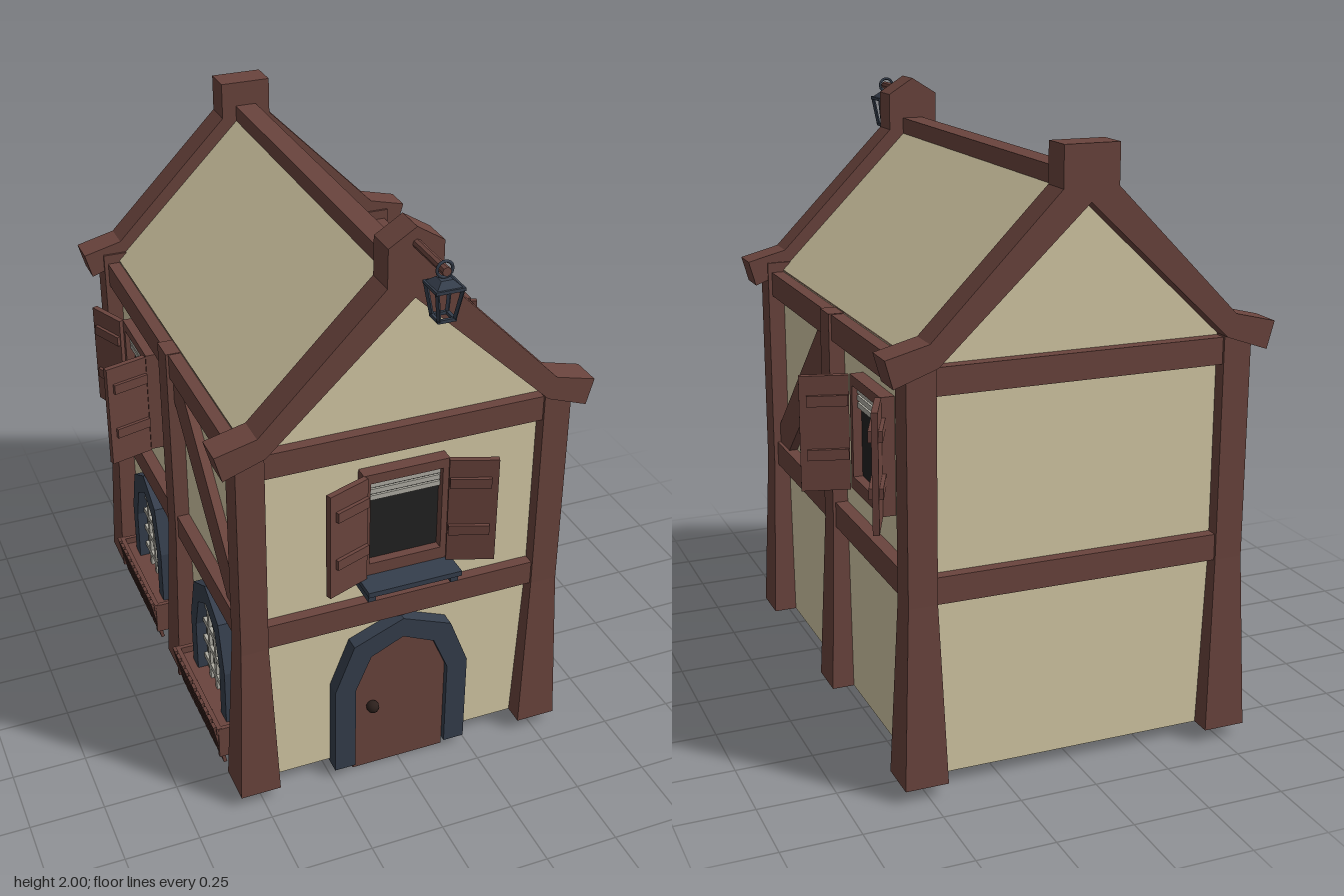
import * as THREE from 'three';

const mat = (name, color, side = THREE.FrontSide) => {
  const m = new THREE.MeshStandardMaterial({ color, side });
  m.name = name;
  return m;
};
const timber = mat('timber brown', 0x6a443d);
const plaster = mat('plaster cream', 0xd5caa6, THREE.DoubleSide);
const slate = mat('slate blue', 0x353e4c);
const pane = mat('dark pane', 0x222222);
const blind = mat('pale grey', 0xb0aea4);
const smoky = mat('smoky glass', 0x5a5b54);
const iron = mat('dark knob', 0x2c201c);

function add(parent, name, geo, material, x = 0, y = 0, z = 0) {
  const m = new THREE.Mesh(geo, material);
  m.name = name;
  m.position.set(x, y, z);
  parent.add(m);
  return m;
}
const box = (parent, name, material, w, h, d, x, y, z) =>
  add(parent, name, new THREE.BoxGeometry(w, h, d), material, x, y, z);
const group = (parent, name, x = 0, y = 0, z = 0, ry = 0) => {
  const g = new THREE.Group();
  g.name = name;
  g.position.set(x, y, z);
  g.rotation.y = ry;
  parent.add(g);
  return g;
};
const shapeOf = pts => new THREE.Shape(pts.map(p => new THREE.Vector2(...p)));
const slab = (shape, depth) => new THREE.ExtrudeGeometry(shape, { depth, bevelEnabled: false });
const flat = geo => {
  const g = geo.index ? geo.toNonIndexed() : geo;
  g.computeVertexNormals();
  return g;
};
// Mirror the right half of an outline to the left
const mirrored = half => [...half, ...half.slice().reverse().filter(p => p[0] > 0).map(([x, y]) => [-x, y])];

// Thin rod between two points
function rod(parent, name, material, a, b, r, sides = 4) {
  const A = new THREE.Vector3(...a), B = new THREE.Vector3(...b);
  const dir = B.clone().sub(A);
  const m = add(parent, name, flat(new THREE.CylinderGeometry(r, r, dir.length(), sides)), material);
  m.position.copy(A).add(B).multiplyScalar(0.5);
  m.quaternion.setFromUnitVectors(new THREE.Vector3(0, 1, 0), dir.normalize());
}

// Square post with a flared foot
function post(parent, name, x, z, top) {
  const profile = [[0, 0.045], [0.069, 0.045], [0.046, 0.62], [0.046, top], [0, top]]
    .map(([r, y]) => new THREE.Vector2(r * Math.SQRT2, y));
  const m = add(parent, name, flat(new THREE.LatheGeometry(profile, 4, Math.PI / 4)), timber, x, 0, z);
  return m;
}

// Shuttered window facing +z; the angles open the left and right shutter
function shutteredWindow(parent, name, x, z, ry, leftAngle, rightAngle) {
  const g = group(parent, name, x, 1, z, ry);
  const frame = shapeOf([[-0.145, -0.185], [0.145, -0.185], [0.145, 0.19], [-0.145, 0.19]]);
  frame.holes.push(new THREE.Path([[-0.122, -0.142], [-0.122, 0.157], [0.122, 0.157], [0.122, -0.142]]
    .map(p => new THREE.Vector2(...p))));
  add(g, 'windowFrame', slab(frame, 0.06), timber, 0, 0, -0.015);
  box(g, 'windowPane', pane, 0.25, 0.31, 0.006, 0, 0.005, 0.012);
  for (const y of [0.14, 0.117, 0.094])
    box(g, 'blindSlat', blind, 0.24, 0.017, 0.008, 0, y, 0.025);
  for (const [s, a] of [[-1, leftAngle], [1, rightAngle]]) {
    const shutter = group(g, 'shutter', s * 0.14, 0, 0.05, -s * a);
    box(shutter, 'shutterPanel', timber, 0.155, 0.375, 0.02, s * 0.0775, 0.002, 0);
    for (const y of [-0.065, 0.11])
      box(shutter, 'shutterStrap', timber, 0.13, 0.035, 0.044, s * 0.068, y, 0);
  }
  return g;
}

// Faceted arch outlines
const archOuter = (k, y0) => mirrored([[0.238 * k, y0], [0.238 * k, 0.37], [0.172 * k, 0.54], [0, 0.61]]);
const archInner = (k, y0) => mirrored([[0.165 * k, y0], [0.165 * k, 0.36], [0.112 * k, 0.485], [0, 0.537]]);
function archFrame(parent, k, y0, depth) {
  const s = shapeOf([...archOuter(k, y0).slice(0, 4), ...archOuter(k, y0).slice(4),
    ...archInner(k, y0).slice(4).reverse(), ...archInner(k, y0).slice(0, 4).reverse()]);
  add(parent, 'archFrame', slab(s, depth), slate, 0, 0, -0.01);
}

// Arched lattice window with a slatted flower box, facing +z
function archedWindow(parent, z) {
  const g = group(parent, 'archedWindow', -0.5, 0, z, -Math.PI / 2);
  archFrame(g, 0.76, 0.15, 0.055);
  add(g, 'archPane', slab(shapeOf(archInner(0.76, 0.15)), 0.006), smoky, 0, 0, 0.003);
  for (const x of [-0.065, 0, 0.065])
    box(g, 'latticeBar', blind, 0.02, x ? 0.31 : 0.37, 0.012, x, x ? 0.305 : 0.335, 0.014);
  for (const y of [0.22, 0.3, 0.38, 0.46])
    box(g, 'latticeBar', blind, y > 0.4 ? 0.18 : 0.245, 0.02, 0.012, 0, y, 0.015);
  const planter = group(g, 'flowerBox');
  for (let i = 0; i < 11; i++) {
    const picket = box(planter, 'picket', timber, 0.028, 0.165, 0.012, -0.215 + i * 0.043, 0.117, 0.085);
    picket.rotation.x = 0.2;
  }
  box(planter, 'planterRail', timber, 0.47, 0.025, 0.018, 0, 0.18, 0.088);
  box(planter, 'planterBed', timber, 0.45, 0.1, 0.07, 0, 0.115, 0.035);
  for (const s of [-1, 1]) box(planter, 'planterEnd', timber, 0.015, 0.12, 0.09, s * 0.228, 0.13, 0.045);
}

export function createModel() {
  const house = new THREE.Group();
  house.name = 'timberHouse';
  const zf = 0.605, zb = -0.825, zm = (zf + zb) / 2, len = zf - zb;

  // Plaster walls and roof, open underneath
  const gable = shapeOf(mirrored([[0.5, 0.045], [0.5, 1.34], [0, 1.84]]));
  add(house, 'frontWall', new THREE.ShapeGeometry(gable), plaster, 0, 0, zf);
  const back = add(house, 'backWall', new THREE.ShapeGeometry(gable), plaster, 0, 0, zb);
  back.rotation.y = Math.PI;
  for (const s of [-1, 1]) {
    const wall = add(house, 'sideWall', new THREE.PlaneGeometry(len, 1.295), plaster, s * 0.5, 0.6925, zm);
    wall.rotation.y = s * Math.PI / 2;
    const roof = new THREE.PlaneGeometry(len, 0.5 * Math.SQRT2);
    roof.rotateX(-Math.PI / 4).rotateY(s * Math.PI / 2);
    add(house, 'roofSlope', roof, plaster, s * 0.25, 1.592, zm);
  }

  // Posts, rails and diagonal braces
  const brace = shapeOf([[0.56, 0.69], [0.56, 0.77], [0.035, 1.26], [-0.05, 1.26], [-0.05, 1.16], [0.46, 0.69]]);
  for (const s of [-1, 1]) {
    post(house, 'frontPost', s * 0.51, zf, 1.37);
    post(house, 'middlePost', s * 0.505, -0.093, 1.338);
    post(house, 'backPost', s * 0.51, zb, 1.37);
    for (const y of [0.659, 1.293])
      box(house, 'sideRail', timber, 0.08, 0.085, len, s * 0.502, y, zm);
    const b = add(house, 'diagonalBrace', slab(brace, 0.06), timber, s * 0.5 + 0.03, 0, 0);
    b.rotation.y = -Math.PI / 2;
  }
  for (const z of [zf, zb])
    for (const y of [0.659, 1.293])
      box(house, 'endRail', timber, 1.0, 0.085, 0.075, 0, y, z);
  box(house, 'ridgeBeam', timber, 0.074, 0.08, len, 0, 1.82, zm);

  // Gable boards with kicked-out ends; the front cap is pointed
  for (const [z, peak] of [[0.565, 2.0], [-0.89, 1.945]]) {
    const upper = [[0, peak], [0.088, 1.945], [0.088, 1.82], [0.49, 1.412], [0.624, 1.378], [0.6, 1.292], [0.465, 1.34], [0, 1.778]];
    const outline = [...upper, ...upper.slice(1, 7).reverse().map(([x, y]) => [-x, y])];
    add(house, 'gableBoard', slab(shapeOf(outline), 0.103), timber, 0, 0, z);
  }

  // Shuttered windows
  const front = shutteredWindow(house, 'frontWindow', 0, zf, 0, 0.36, 0.36);
  shutteredWindow(house, 'leftWindow', 0.5, -0.47, Math.PI / 2, 1.3, 0.4);
  shutteredWindow(house, 'rightWindow', -0.5, -0.47, -Math.PI / 2, 0.4, 1.3);
  box(front, 'sillShelf', slate, 0.32, 0.018, 0.13, 0, -0.196, 0.067);
  for (const s of [-1, 1])
    box(front, 'sillBracket', slate, 0.026, 0.035, 0.11, s * 0.142, -0.217, 0.06);

  // Arched door
  const door = group(house, 'door', 0, 0, zf);
  archFrame(door, 1, 0.033, 0.06);
  add(door, 'doorPanel', slab(shapeOf(archInner(1, 0.003)), 0.03), timber, 0, 0, -0.002);
  add(door, 'doorKnob', new THREE.SphereGeometry(0.022, 12, 8), iron, -0.1, 0.262, 0.04);

  // Lower arched windows on one side
  archedWindow(house, 0.25);
  archedWindow(house, -0.475);

  // Hanging lantern on its arm
  rod(house, 'lanternArm', timber, [0, 1.948, 0.64], [0, 1.948, 0.865], 0.014, 8);
  const lantern = group(house, 'lantern', 0, 0, 0.85);
  const ring = add(lantern, 'lanternRing', new THREE.TorusGeometry(0.024, 0.005, 6, 14), slate, 0, 1.95, 0);
  ring.rotation.y = 0;
  const cap = flat(new THREE.CylinderGeometry(0.026, 0.058, 0.02, 4, 1).rotateY(Math.PI / 4));
  add(lantern, 'lanternCap', cap, slate, 0, 1.914, 0);
  box(lantern, 'lanternRim', slate, 0.09, 0.01, 0.09, 0, 1.901, 0);
  for (const sx of [-1, 1]) {
    for (const sz of [-1, 1])
      rod(lantern, 'lanternBar', slate, [sx * 0.039, 1.9, sz * 0.039], [sx * 0.024, 1.805, sz * 0.024], 0.007);
    box(lantern, 'lanternFoot', slate, 0.01, 0.01, 0.058, sx * 0.024, 1.804, 0);
    box(lantern, 'lanternFoot', slate, 0.058, 0.01, 0.01, 0, 1.804, sx * 0.024);
  }
  return house;
}
